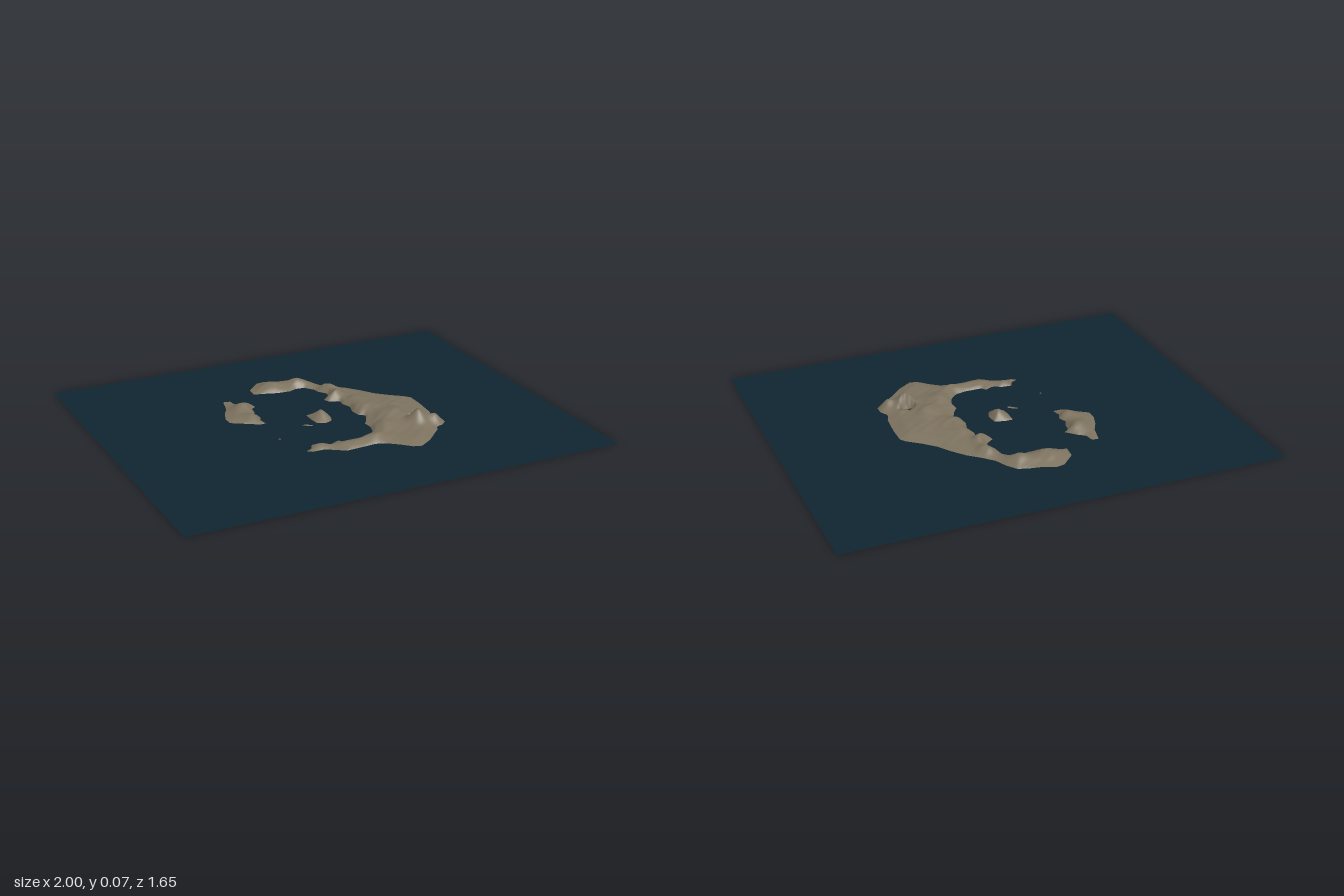
import * as THREE from 'three';

// Coastlines as x, z pairs in thousandths
const COASTS = {
  crescentIsland: [
    -171, -398, -166, -457, -128, -495, -102, -521, -64, -527, -11, -505, 43, -495, 96, -479,
    128, -436, 155, -377, 203, -329, 251, -286, 294, -233, 337, -168, 390, -115, 444, -72,
    465, -45, 465, 40, 455, 147, 438, 195, 460, 233, 460, 275, 433, 302, 396, 313,
    385, 340, 342, 382, 299, 425, 235, 468, 198, 457, 155, 414, 123, 388, 70, 361,
    11, 366, -80, 372, -123, 340, -160, 318, -214, 318, -241, 302, -203, 286, -193, 254,
    -139, 259, -112, 281, -64, 259, -53, 281, 27, 281, 80, 270, 118, 233, 134, 184,
    128, 142, 155, 104, 176, 56, 150, 40, 144, -13, 160, -67, 144, -110, 150, -147,
    102, -168, 91, -195, 128, -222, 139, -259, 112, -297, 107, -329, 75, -372, 37, -377,
    -5, -361, -64, -366, -112, -382],
  westIsland: [
    -337, -372, -305, -366, -299, -324, -267, -302, -225, -259, -251, -238, -257, -195,
    -273, -168, -257, -131, -273, -99, -262, -56, -294, -56, -332, -83, -385, -115,
    -406, -131, -406, -179, -385, -238, -358, -286, -348, -324],
  centralIsland: [-64, -61, -21, -61, 21, -45, 27, 8, 11, 45, -21, 56, -59, 40, -64, -3],
  smallIslet: [-134, 29, -112, 35, -86, 51, -91, 67, -112, 51],
  tinyIslet: [-288, 127, -279, 127, -279, 135, -288, 135],
};
const LAKE = [310, 200, 331, 174, 348, 184, 380, 200, 358, 217, 342, 206, 326, 222];

// Hills: x, z, height, radius
const HILLS = [
  [0.34, 0.238, 0.058, 0.045], [0.27, 0.13, 0.028, 0.06], [0.18, 0.23, 0.022, 0.06],
  [0.415, 0.265, 0.028, 0.03], [0.2, 0.0, 0.018, 0.06], [0.2, -0.1, 0.016, 0.06],
  [0.145, -0.205, 0.034, 0.04], [0.16, -0.29, 0.024, 0.04], [0.06, -0.41, 0.024, 0.05],
  [-0.07, -0.42, 0.02, 0.05], [0.08, 0.31, 0.018, 0.05], [-0.03, 0.32, 0.009, 0.06],
  [-0.16, 0.285, 0.008, 0.04], [0.33, 0.02, 0.01, 0.09], [-0.285, -0.245, 0.025, 0.045],
  [-0.3, -0.12, 0.016, 0.045], [-0.01, -0.01, 0.026, 0.04],
];

const toPoints = (list) => {
  const points = [];
  for (let i = 0; i < list.length; i += 2) {
    points.push(new THREE.Vector2(list[i] / 1000, list[i + 1] / 1000));
  }
  return points;
};

function isInside(p, loop) {
  let inside = false;
  loop.forEach((a, i) => {
    const b = loop[(i + 1) % loop.length];
    if ((a.y > p.y) !== (b.y > p.y)
      && p.x < a.x + ((p.y - a.y) * (b.x - a.x)) / (b.y - a.y)) inside = !inside;
  });
  return inside;
}

// Nearest point on a closed loop
function nearest(p, loop) {
  let best = null;
  let distance = Infinity;
  loop.forEach((a, i) => {
    const ab = loop[(i + 1) % loop.length].clone().sub(a);
    const t = THREE.MathUtils.clamp(p.clone().sub(a).dot(ab) / ab.lengthSq(), 0, 1);
    const q = a.clone().addScaledVector(ab, t);
    const d = q.distanceTo(p);
    if (d < distance) { distance = d; best = q; }
  });
  return { point: best, distance };
}

// Gentle outer slopes, steep cliffs where a hill meets the coast
function landHeight(p, shore, lakeShore) {
  let h = Math.min(shore * 0.25, 0.013);
  for (const [x, z, height, r] of HILLS) {
    h += height * Math.exp(-((p.x - x) ** 2 + (p.y - z) ** 2) / (r * r));
  }
  h *= 1 + 0.08 * Math.sin(p.x * 75 + 2 * Math.sin(p.y * 40)) * Math.sin(p.y * 65);
  return Math.min(h, shore * 1.2, lakeShore * 4);
}

// Grid clipped to the coast: the outermost vertices slide onto the shoreline
function landGeometry(coast, lake) {
  const box = new THREE.Box2().setFromPoints(coast);
  const size = box.getSize(new THREE.Vector2());
  const step = Math.min(0.01, size.x / 4);
  const nx = Math.ceil(size.x / step) + 2;
  const nz = Math.ceil(size.y / step) + 2;
  const positions = [];
  const onLand = [];
  for (let j = 0; j <= nz; j++) {
    for (let i = 0; i <= nx; i++) {
      const p = new THREE.Vector2(box.min.x + (i - 0.5) * step, box.min.y + (j - 0.5) * step);
      const shore = nearest(p, coast);
      const lakeShore = lake ? nearest(p, lake) : { distance: Infinity };
      const inLake = lake ? isInside(p, lake) : false;
      const land = isInside(p, coast) && !inLake;
      const q = land ? p : inLake ? lakeShore.point : shore.point;
      const y = land ? landHeight(p, shore.distance, lakeShore.distance) : 0;
      positions.push(q.x, y, q.y);
      onLand.push(land);
    }
  }
  const index = [];
  const addFace = (...face) => { if (face.some((v) => onLand[v])) index.push(...face); };
  for (let j = 0; j < nz; j++) {
    for (let i = 0; i < nx; i++) {
      const a = j * (nx + 1) + i;
      const c = a + nx + 1;
      addFace(a, c, a + 1);
      addFace(a + 1, c, c + 1);
    }
  }
  const geometry = new THREE.BufferGeometry();
  geometry.setAttribute('position', new THREE.Float32BufferAttribute(positions, 3));
  geometry.setIndex(index);
  geometry.computeVertexNormals();
  return geometry;
}

export function createModel() {
  const group = new THREE.Group();
  group.name = 'calderaIslands';
  const seaBlue = new THREE.MeshStandardMaterial({ color: 0x0f2530, side: THREE.DoubleSide });
  seaBlue.name = 'seaBlue';
  const landBrown = new THREE.MeshStandardMaterial({ color: 0x7d725f, side: THREE.DoubleSide });
  landBrown.name = 'landBrown';

  const add = (name, geometry, material) => {
    const mesh = new THREE.Mesh(geometry, material);
    mesh.name = name;
    group.add(mesh);
  };
  const flat = (shape) => new THREE.ShapeGeometry(shape).rotateX(-Math.PI / 2);
  const flip = (points) => points.map((p) => new THREE.Vector2(p.x, -p.y));

  // Sea sheet, open beneath each island
  const sea = new THREE.Shape(toPoints([-1000, -824, 1000, -824, 1000, 824, -1000, 824]));
  const lake = toPoints(LAKE);

  // Islands
  for (const [name, list] of Object.entries(COASTS)) {
    const coast = toPoints(list);
    sea.holes.push(new THREE.Path(flip(coast)));
    add(name, landGeometry(coast, name === 'crescentIsland' ? lake : null), landBrown);
  }
  add('sea', flat(sea), seaBlue);

  // Water in the pit beside the main peak
  add('lake', flat(new THREE.Shape(flip(lake))), seaBlue);
  return group;
}
